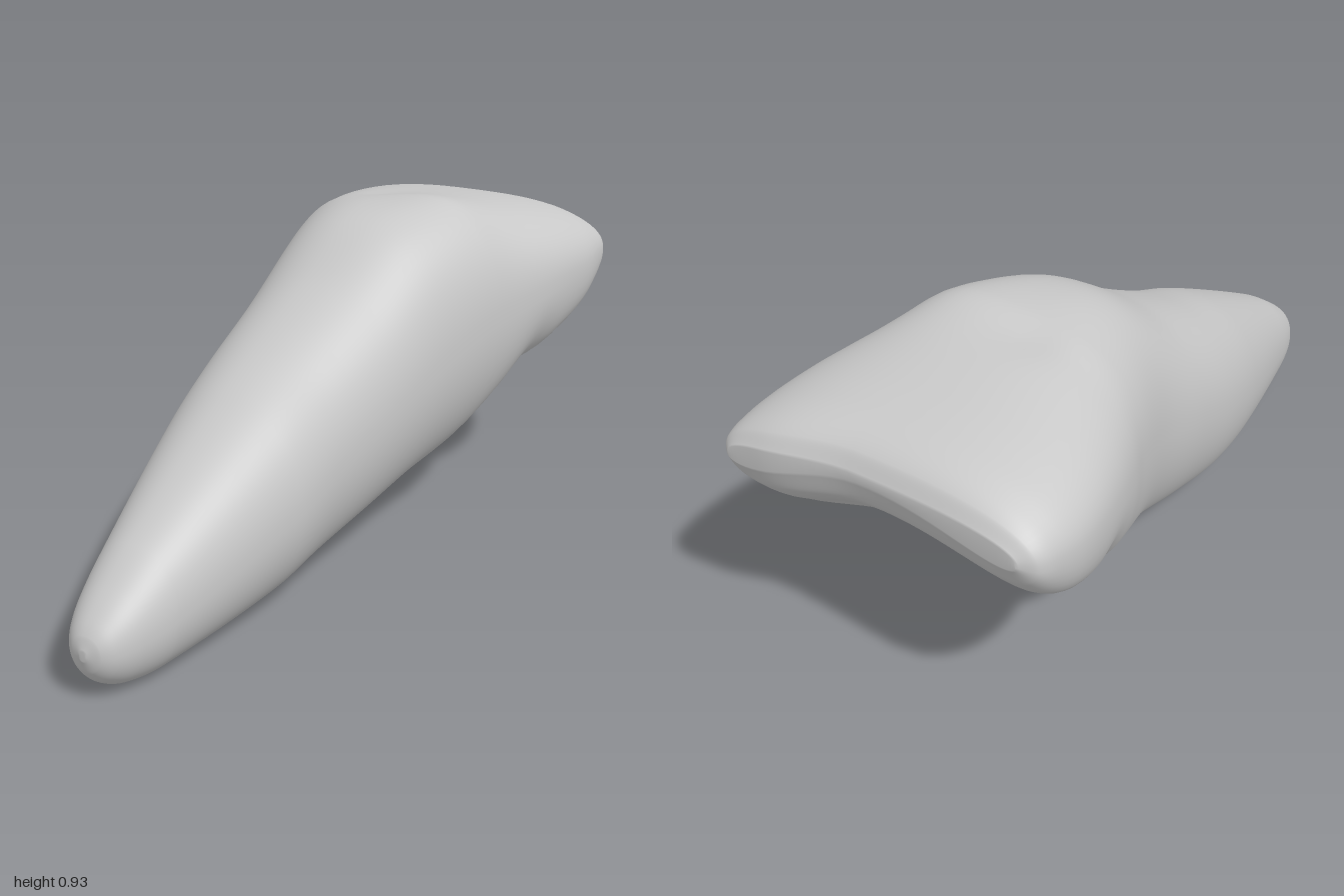
import * as THREE from 'three';

// Cross-sections from root tip to biting edge:
// z, right-hand x, left-hand x, bottom y, widest y, top y
const sections = [
  [0.998, -0.018, 0.002, 0.118, 0.13, 0.142],
  [0.985, -0.052, 0.036, 0.08, 0.13, 0.175],
  [0.955, -0.082, 0.064, 0.045, 0.13, 0.21],
  [0.9, -0.11, 0.09, 0.017, 0.14, 0.255],
  [0.8, -0.14, 0.12, 0.003, 0.165, 0.325],
  [0.4, -0.24, 0.2, 0.01, 0.29, 0.55],
  [0.2, -0.275, 0.218, 0.032, 0.36, 0.645],
  [0, -0.287, 0.255, 0.07, 0.44, 0.755],
  [-0.2, -0.295, 0.295, 0.115, 0.52, 0.885],
  [-0.4, -0.345, 0.345, 0.15, 0.59, 0.922],
  [-0.5, -0.38, 0.377, 0.213, 0.615, 0.914],
  [-0.6, -0.41, 0.407, 0.31, 0.64, 0.903],
  [-0.7, -0.432, 0.43, 0.285, 0.66, 0.89],
  [-0.8, -0.442, 0.442, 0.33, 0.67, 0.876],
  [-0.88, -0.434, 0.438, 0.415, 0.685, 0.858],
  [-0.94, -0.415, 0.425, 0.55, 0.7, 0.825],
  [-0.967, -0.375, 0.395, 0.66, 0.715, 0.78],
];

const AROUND = 72;
const STEPS = 8;
const { smoothstep } = THREE.MathUtils;

// Smooth interpolation between neighbouring cross-sections
function sectionAt(i, t) {
  const at = (k) => sections[Math.min(Math.max(k, 0), sections.length - 1)];
  const [a, b, c, d] = [at(i - 1), at(i), at(i + 1), at(i + 2)];
  const h = c[0] - b[0];
  const t2 = t * t, t3 = t2 * t;
  return b.map((v, k) => {
    if (k === 0) return v + h * t;
    const m0 = (h * (c[k] - a[k])) / (c[0] - a[0]);
    const m1 = (h * (d[k] - v)) / (d[0] - b[0]);
    return (2 * t3 - 3 * t2 + 1) * v + (t3 - 2 * t2 + t) * m0 + (3 * t2 - 2 * t3) * c[k] + (t3 - t2) * m1;
  });
}

// Soft round swelling (or dimple) on the crown face
function swelling(x, z, cx, cz, height, spread) {
  return height * Math.exp(-((x - cx) ** 2 + (z - cz) ** 2) / spread);
}

function toothGeometry() {
  const positions = [], index = [];
  const rings = (sections.length - 1) * STEPS + 1;
  for (let r = 0; r < rings; r++) {
    const i = Math.min(Math.floor(r / STEPS), sections.length - 2);
    const [z, xMin, xMax, yBottom, ySide, yTop] = sectionAt(i, r / STEPS - i);
    // gentle hollow behind the biting edge, between the two side ridges
    const hollow = 0.22 * smoothstep(-z, 0.58, 0.8) - 0.13 * smoothstep(-z, 0.86, 0.99);
    // the crown's upper face is fuller than the root's
    const upperRound = 2.2 + 0.25 * smoothstep(-z, 0, 0.4);
    for (let j = 0; j < AROUND; j++) {
      const a = (j / AROUND) * Math.PI * 2;
      const upper = j <= AROUND / 2;
      const n = upper ? upperRound : 2;
      const c = Math.sign(Math.cos(a)) * Math.abs(Math.cos(a)) ** (2 / n);
      const s = Math.abs(Math.sin(a)) ** (2 / n);
      const x = (xMin + xMax) / 2 + ((xMax - xMin) / 2) * c;
      let y = ySide;
      if (upper) {
        y += (yTop - ySide) * s;
        y += s * swelling(x, z, 0.21, -0.42, 0.025, 0.02);
        y -= swelling(x, z, -0.08, -0.47, 0.012, 0.006);
      } else {
        y += (yBottom - ySide) * s + hollow * s ** 3;
      }
      // one corner of the biting edge reaches further back
      const corner = smoothstep(x, 0.05, 0.3) * smoothstep(-z, 0.6, 0.95);
      positions.push(x, y, z - 0.033 * corner);
    }
  }
  for (let r = 0; r < rings - 1; r++) {
    for (let j = 0; j < AROUND; j++) {
      const a = r * AROUND + j, b = r * AROUND + ((j + 1) % AROUND);
      index.push(a, a + AROUND, b, b, a + AROUND, b + AROUND);
    }
  }
  // Close both ends with strips between the upper and lower curves
  const last = (rings - 1) * AROUND;
  for (let j = 0; j < AROUND / 2; j++) {
    const u0 = j, u1 = j + 1, l0 = (AROUND - j) % AROUND, l1 = AROUND - j - 1;
    index.push(u0, u1, l0, u1, l1, l0);
    index.push(last + u0, last + l0, last + u1, last + u1, last + l0, last + l1);
  }
  const geometry = new THREE.BufferGeometry();
  geometry.setAttribute('position', new THREE.Float32BufferAttribute(positions, 3));
  geometry.setIndex(index);
  geometry.computeVertexNormals();
  return geometry;
}

export function createModel() {
  const enamel = new THREE.MeshStandardMaterial({ color: 0xc8c8c8 });
  enamel.name = 'light grey';
  const tooth = new THREE.Mesh(toothGeometry(), enamel);
  tooth.name = 'tooth';
  const group = new THREE.Group();
  group.name = 'incisor';
  group.add(tooth);
  return group;
}
